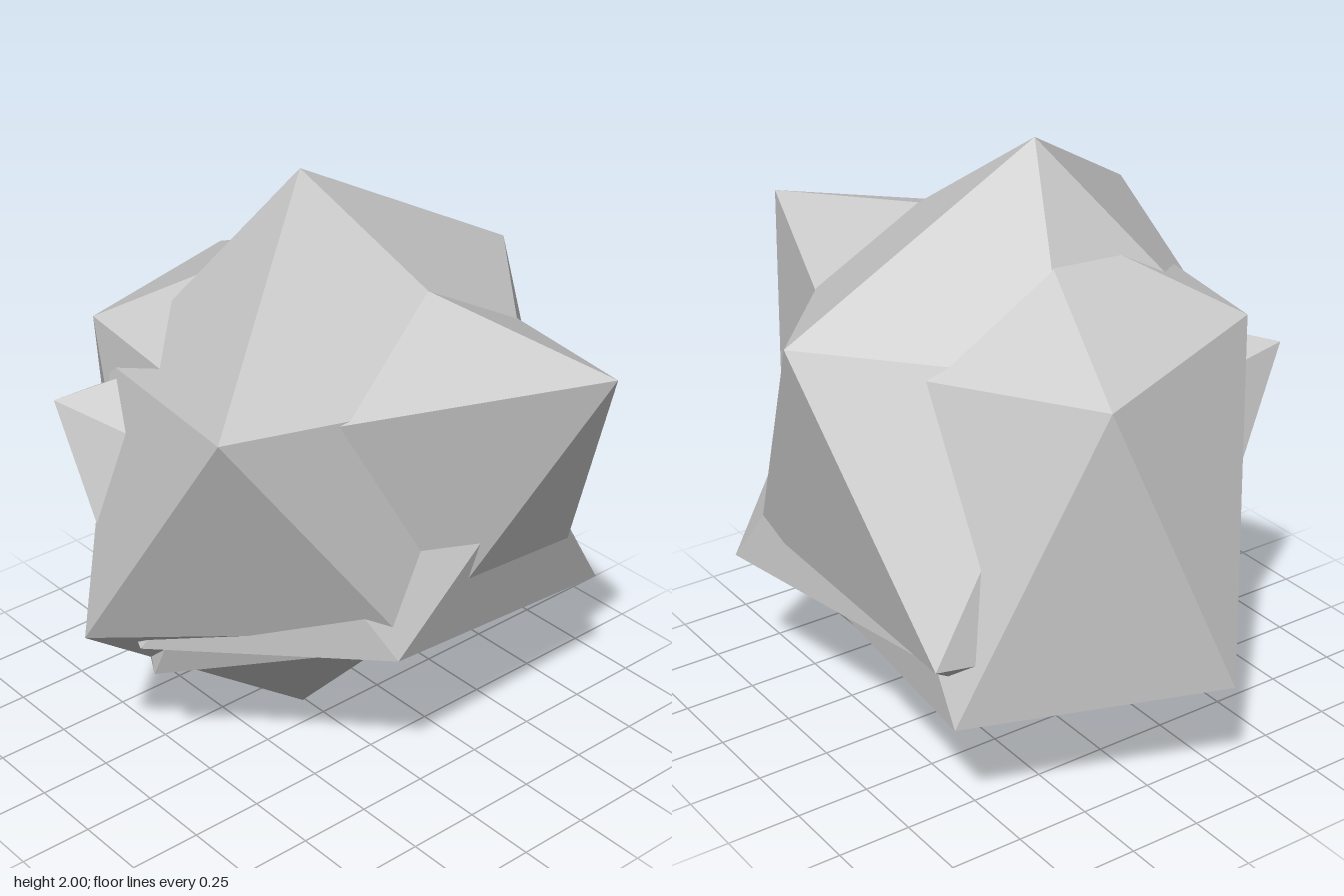
import * as THREE from 'three';

// One irregular icosahedral shard: a top point, five upper and five lower ring points, a bottom point.
// Ring points run round the y axis from +x towards +z; the lower ring sits half a step further on.
function shard(name, material, { top, upper, lower, bottom }) {
  const pos = [];
  const tri = (...corners) => corners.forEach((p) => pos.push(...p));
  for (let i = 0; i < 5; i++) {
    const j = (i + 1) % 5;
    tri(top, upper[j], upper[i]);
    tri(upper[i], upper[j], lower[i]);
    tri(lower[i], upper[j], lower[j]);
    tri(bottom, lower[i], lower[j]);
  }
  const geometry = new THREE.BufferGeometry();
  geometry.setAttribute('position', new THREE.Float32BufferAttribute(pos, 3));
  geometry.computeVertexNormals();
  const mesh = new THREE.Mesh(geometry, material);
  mesh.name = name;
  return mesh;
}

export function createModel() {
  const stone = new THREE.MeshStandardMaterial({ color: 0xcccccc, flatShading: true });
  stone.name = 'pale grey stone';

  const group = new THREE.Group();
  group.name = 'rock';

  // Tall shard carrying the top and bottom points
  group.add(shard('tallShard', stone, {
    top: [-0.01, 2, -0.1],
    upper: [[0.89, 1.52, -0.1], [0.255, 1.455, 0.66], [-0.8, 1.55, 0.485], [-0.5, 1.345, -0.465], [0.18, 1.4, -0.53]],
    lower: [[0.72, 0.66, 0.42], [-0.2, 0.72, 0.6], [-0.9, 0.65, -0.1], [-0.22, 0.5, -0.7], [0.735, 0.635, -0.65]],
    bottom: [-0.01, 0, -0.1],
  }));

  // Shard with the long spikes at the front and back
  group.add(shard('spikedShard', stone, {
    top: [0.02, 1.77, -0.12],
    upper: [[0.68, 1.41, -0.1], [0.31, 1.58, 0.97], [-0.63, 1.48, 0.42], [-0.48, 1.466, -0.58], [0.25, 1.43, -0.85]],
    lower: [[0.6, 0.475, 0.48], [-0.08, 0.59, 0.55], [-0.66, 0.42, -0.07], [-0.16, 0.425, -0.97], [0.667, 0.405, -0.645]],
    bottom: [0, 0.25, -0.1],
  }));

  // Low shard jutting out near the base
  group.add(shard('lowShard', stone, {
    top: [0, 1.5, -0.1],
    upper: [[0.65, 1.18, 0.05], [0.2, 1.23, 0.75], [-0.5, 1.2, 0.35], [-0.714, 1.28, -0.48], [0.2, 1.2, -0.6]],
    lower: [[0.765, 0.505, 0.535], [-0.22, 0.635, 0.62], [-0.76, 0.6, 0], [-0.25, 0.6, -0.68], [0.64, 0.56, -0.59]],
    bottom: [-0.02, 0.24, -0.1],
  }));

  return group;
}
